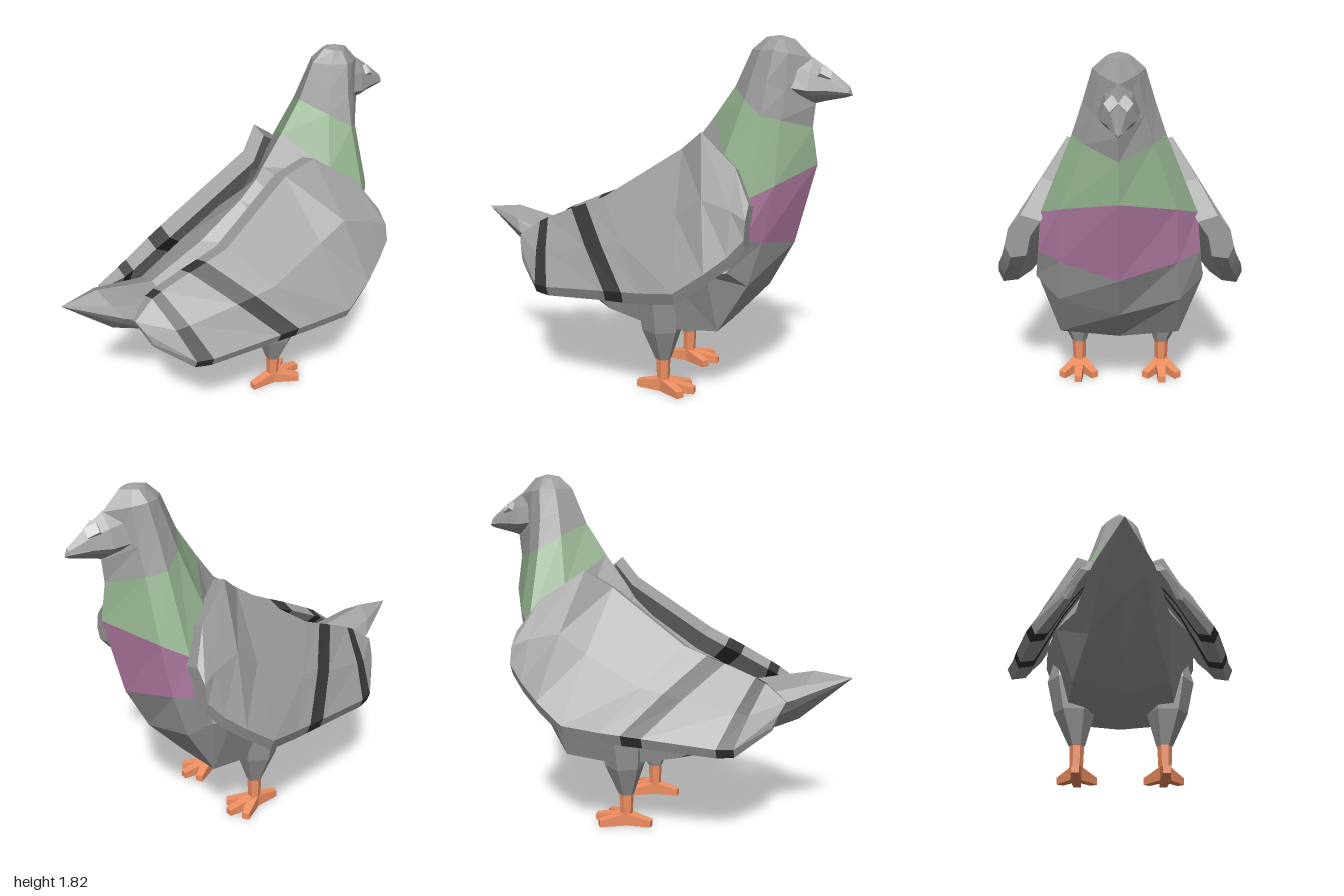
import * as THREE from 'three';

const GREY = 0x9c9c9c, GREEN = 0x8fad8a, PINK = 0xb57da5, DARK = 0x363636, ORANGE = 0xf09062, WHITE = 0xe6e6e6;

function mesh(name, geometry, color = GREY) {
  const m = new THREE.Mesh(geometry, new THREE.MeshStandardMaterial({ color, flatShading: true }));
  m.name = name;
  return m;
}

// Skins closed rings of points; paint(i, j) names the part each panel belongs to.
function loft(rings, paint, colors, flip = false) {
  const parts = {};
  const a = new THREE.Vector3(), b = new THREE.Vector3();
  const tri = (list, p, q, r) => {
    if (a.subVectors(q, p).cross(b.subVectors(r, p)).length() < 1e-7) return;
    for (const v of flip ? [p, r, q] : [p, q, r]) list.push(v.x, v.y, v.z);
  };
  for (let i = 0; i < rings.length - 1; i++) {
    const lo = rings[i], hi = rings[i + 1], n = lo.length;
    for (let j = 0; j < n; j++) {
      const k = (j + 1) % n, list = (parts[paint(i, j)] ??= []);
      tri(list, lo[j], lo[k], hi[k]);
      tri(list, lo[j], hi[k], hi[j]);
    }
  }
  const group = new THREE.Group();
  for (const [name, list] of Object.entries(parts)) {
    const g = new THREE.BufferGeometry();
    g.setAttribute('position', new THREE.Float32BufferAttribute(list, 3));
    g.computeVertexNormals();
    group.add(mesh(name, g, colors[name]));
  }
  return group;
}

// Eight-sided symmetric ring through a back, a side and a front point; a larger flat squares off the front.
function ring([bx, by, sx, sy, w, fx, fy, flat = 0.38]) {
  const P = (x, y, t, z) => new THREE.Vector3(sx + (x - sx) * t, sy + (y - sy) * t, z * w);
  return [P(bx, by, 1, 0), P(bx, by, 0.55, 0.68), P(bx, by, 0, 1), P(fx, fy, flat, 0.72),
    P(fx, fy, 1, 0), P(fx, fy, flat, -0.72), P(bx, by, 0, -1), P(bx, by, 0.55, -0.68)];
}

// Tail, belly, breast, neck and head in one skin
function makeBody() {
  const rings = [
    [-1, 0.86, -1, 0.86, 0, -1, 0.86],
    [-0.81, 0.88, -0.74, 0.76, 0.14, -0.74, 0.62],
    [-0.5, 0.81, -0.46, 0.66, 0.22, -0.45, 0.48, 0.6],
    [-0.2, 0.94, -0.15, 0.7, 0.33, -0.18, 0.35, 0.8],
    [0.05, 1.1, 0.15, 0.72, 0.39, 0.12, 0.33, 0.92],
    [0.15, 1.19, 0.4, 0.7, 0.41, 0.43, 0.36, 0.92],
    [0.17, 1.22, 0.5, 0.72, 0.4, 0.62, 0.57, 0.6],
    [0.19, 1.25, 0.57, 0.88, 0.38, 0.74, 0.8],
    [0.31, 1.41, 0.59, 1.08, 0.36, 0.84, 1.2],
    [0.42, 1.57, 0.6, 1.45, 0.21, 0.81, 1.38],
    [0.46, 1.66, 0.61, 1.6, 0.16, 0.82, 1.49],
    [0.5, 1.75, 0.63, 1.75, 0.115, 0.8, 1.71],
    [0.57, 1.81, 0.64, 1.8, 0.06, 0.71, 1.8],
    [0.64, 1.82, 0.64, 1.82, 0, 0.64, 1.82],
  ].map(ring);
  const paint = (i, j) => {
    if (i === 7 && j >= 2 && j <= 5) return 'breastBand';
    return i === 8 ? 'neckBand' : 'body';
  };
  const body = loft(rings, paint, { breastBand: PINK, neckBand: GREEN });
  body.name = 'bodyAndHead';
  return body;
}

// Beak widening back into the face, with two pale swellings on top
function makeBeak() {
  const beak = loft([
    [0.66, 1.76, 0.66, 1.58, 0.1, 0.7, 1.5],
    [0.8, 1.715, 0.79, 1.56, 0.08, 0.81, 1.495],
    [0.88, 1.66, 0.87, 1.56, 0.05, 0.87, 1.51],
    [0.98, 1.58, 0.975, 1.55, 0.02, 0.97, 1.53],
    [0.995, 1.54, 0.995, 1.54, 0, 0.995, 1.54],
  ].map(ring), () => 'beak', {});
  beak.name = 'beakGroup';
  for (const s of [1, -1]) {
    const cere = mesh('cere', new THREE.BoxGeometry(0.06, 0.03, 0.05), WHITE);
    cere.position.set(0.86, 1.64, s * 0.023);
    cere.rotation.set(s * 0.8, 0, -0.66);
    beak.add(cere);
  }
  return beak;
}

// Folded wing: stations from tip to shoulder, each with an upper and a lower edge point
function makeWing(s) {
  const stations = [
    [-0.71, 0.76, 0.19, -0.66, 0.65, 0.27],
    [-0.6, 0.84, 0.17, -0.51, 0.57, 0.42],
    [-0.55, 0.865, 0.175, -0.43, 0.57, 0.45],
    [-0.4, 0.93, 0.2, -0.08, 0.61, 0.53],
    [-0.31, 0.965, 0.215, 0.02, 0.62, 0.55],
    [-0.2, 1.01, 0.23, 0.12, 0.63, 0.57],
    [0.2, 1.27, 0.18, 0.3, 0.66, 0.615],
    [0.32, 1.365, 0.25, 0.44, 0.76, 0.59],
    [0.52, 1.22, 0.36, 0.54, 0.84, 0.555],
    [0.61, 1.07, 0.45, 0.61, 0.92, 0.53],
  ];
  const rings = stations.map(([tx, ty, tz, lx, ly, lz]) => {
    const size = tx > 0 ? 1 : Math.min(1, (ty - ly) / 0.35);
    const at = (t, dy, dz) => new THREE.Vector3(tx + (lx - tx) * t, ty + (ly - ty) * t + dy * size,
      s * (tz + (lz - tz) * t + dz * size));
    return [at(0, 0, 0), at(0.5, 0.01, 0.02), at(1, 0, 0), at(1, -0.06, -0.025),
      at(1, -0.05, -0.1), at(0.5, -0.03, -0.08), at(0, -0.03, -0.09)];
  });
  // close both ends at their centres
  const cap = (r) => {
    const c = new THREE.Vector3();
    r.forEach((p) => c.add(p));
    c.divideScalar(r.length);
    return r.map(() => c);
  };
  rings.unshift(cap(rings[0]));
  rings.push(cap(rings[rings.length - 1]));
  const wing = loft(rings, (i) => (i === 2 || i === 4 ? 'wingBar' : 'wing'), { wingBar: DARK }, s < 0);
  wing.name = s > 0 ? 'leftWing' : 'rightWing';
  return wing;
}

// Toe: tapered box running from the ankle along its own +x
function makeToe(length, angle) {
  const g = new THREE.BoxGeometry(length, 0.07, 0.055).translate(length / 2, 0.04, 0);
  const p = g.attributes.position;
  for (let i = 0; i < p.count; i++) {
    if (p.getX(i) < length / 2) continue;
    p.setY(i, p.getY(i) > 0.04 ? 0.045 : 0.01);
    p.setZ(i, p.getZ(i) * 0.7);
  }
  const toe = mesh('toe', g, ORANGE);
  toe.rotation.y = angle;
  return toe;
}

function makeLeg(s) {
  const leg = new THREE.Group();
  leg.name = 'leg';
  // feathered thigh flaring into the belly and leaning outward
  const profile = [[0.001, 0.18], [0.042, 0.18], [0.105, 0.35], [0.125, 0.52], [0.06, 0.7], [0.001, 0.7]];
  const thighGeo = new THREE.LatheGeometry(profile.map(([r, y]) => new THREE.Vector2(r, y)), 6);
  const p = thighGeo.attributes.position;
  for (let i = 0; i < p.count; i++) p.setZ(i, p.getZ(i) + s * 0.1 * (p.getY(i) - 0.18));
  const shank = mesh('shank', new THREE.CylinderGeometry(0.038, 0.032, 0.16, 6), ORANGE);
  shank.position.y = 0.11;
  leg.add(mesh('thigh', thighGeo), shank);
  for (const [len, ang] of [[0.17, 0], [0.15, 0.62], [0.15, -0.62], [0.14, Math.PI]]) leg.add(makeToe(len, ang));
  leg.position.set(0.12, 0, s * 0.222);
  return leg;
}

export function createModel() {
  const model = new THREE.Group();
  model.name = 'bird';
  model.add(makeBody(), makeBeak());
  for (const s of [1, -1]) model.add(makeWing(s), makeLeg(s));
  return model;
}
